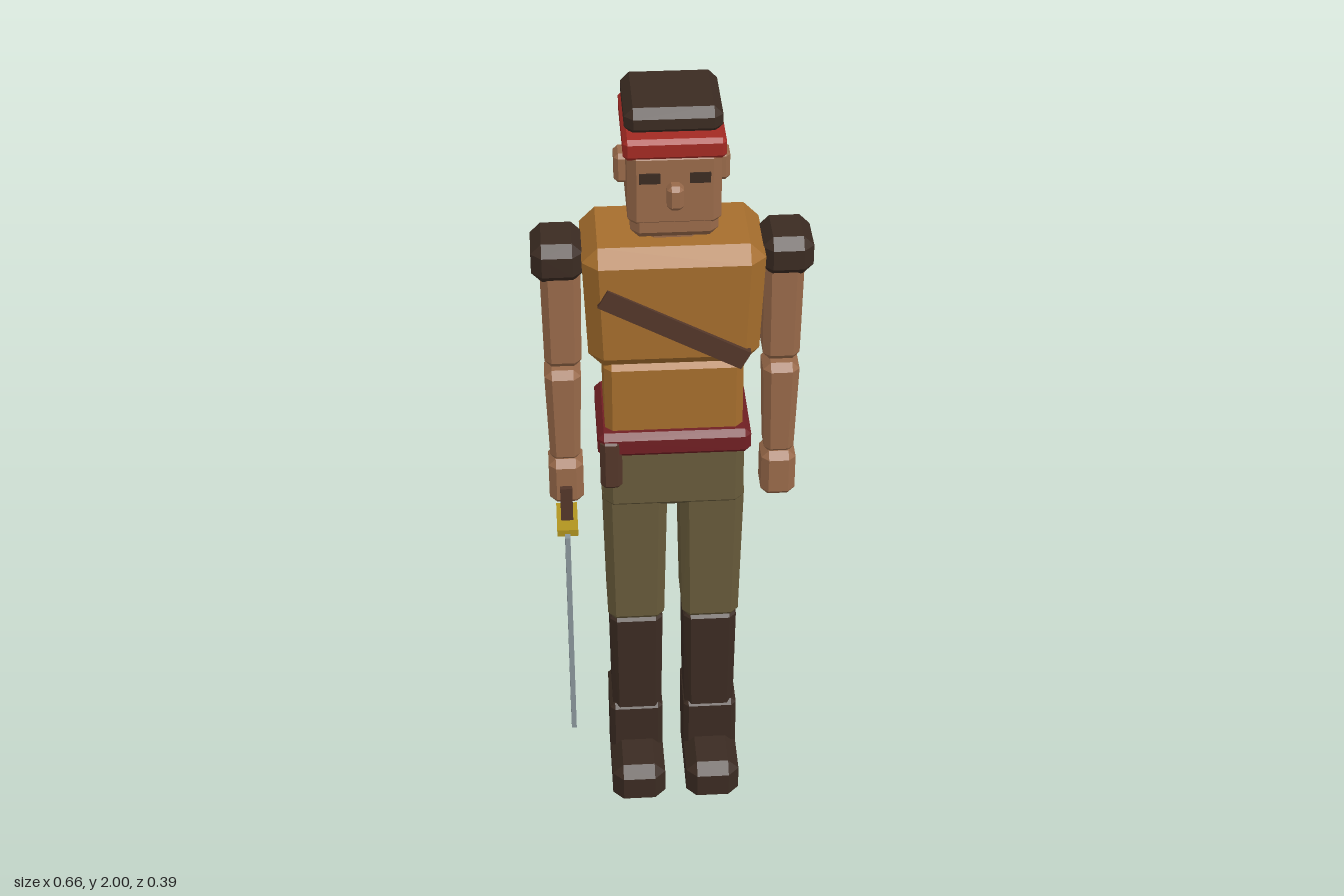
import * as THREE from 'three';
import { ConvexGeometry } from 'three/addons/geometries/ConvexGeometry.js';

const mat = (name, color) => {
  const m = new THREE.MeshStandardMaterial({ color });
  m.name = name;
  return m;
};

// Box with bevelled edges; the foot of the box is scaled by [bx, bz] for a taper
function bevelBox(w, h, d, c, [bx, bz] = [1, 1]) {
  const pts = [];
  for (const sx of [-1, 1]) for (const sy of [-1, 1]) for (const sz of [-1, 1]) {
    for (const [ix, iy, iz] of [[0, c, c], [c, 0, c], [c, c, 0]]) {
      pts.push(new THREE.Vector3(
        sx * (w / 2 - ix) * (sy < 0 ? bx : 1),
        sy * (h / 2 - iy),
        sz * (d / 2 - iz) * (sy < 0 ? bz : 1)));
    }
  }
  return new ConvexGeometry(pts);
}

export function createModel() {
  const skin = mat('skin', 0x996a4a);
  const tunic = mat('mustard tunic', 0xa66e2d);
  const cloth = mat('olive trousers', 0x685b3b);
  const dark = mat('dark leather', 0x3b2b22);
  const strap = mat('brown strap', 0x533629);
  const red = mat('red band', 0xa32a23);
  const crimson = mat('crimson sash', 0x701f23);
  const gold = mat('brass', 0xb0931f);
  const steel = mat('steel', 0x8a969b);

  const model = new THREE.Group();
  model.name = 'swordsman';

  // Adds a part from its extents [x0, x1], [y0, y1], [z0, z1]
  function part(name, material, [x0, x1], [y0, y1], [z0, z1], bevel = 0.015, taper) {
    const geo = bevel
      ? bevelBox(x1 - x0, y1 - y0, z1 - z0, bevel, taper)
      : new THREE.BoxGeometry(x1 - x0, y1 - y0, z1 - z0);
    const mesh = new THREE.Mesh(geo, material);
    mesh.name = name;
    mesh.position.set((x0 + x1) / 2, (y0 + y1) / 2, (z0 + z1) / 2);
    model.add(mesh);
    return mesh;
  }
  // Adds a part on both sides
  function pair(name, material, [a, b], y, z, bevel, taper) {
    part('left' + name, material, [a, b], y, z, bevel, taper);
    part('right' + name, material, [-b, -a], y, z, bevel, taper);
  }

  // Head
  part('cap', dark, [-0.11, 0.11], [1.935, 2.0], [-0.131, 0.086], 0.02);
  part('headband', red, [-0.115, 0.115], [1.895, 1.945], [-0.136, 0.12], 0.01);
  part('head', skin, [-0.106, 0.106], [1.72, 1.915], [-0.125, 0.115], 0.02);
  part('jaw', skin, [-0.1, 0.1], [1.69, 1.77], [-0.09, 0.112], 0.02);
  part('nose', skin, [-0.019, 0.019], [1.78, 1.84], [0.1, 0.146], 0.01);
  pair('Ear', skin, [0.095, 0.132], [1.785, 1.858], [-0.043, 0.019], 0.01);
  pair('Eye', dark, [0.033, 0.08], [1.838, 1.863], [0.112, 0.119], 0);
  part('neck', skin, [-0.055, 0.055], [1.63, 1.72], [-0.065, 0.045], 0.012);

  // Trailing ends of the headband
  for (const [x, lean, material] of [[0.073, 0.1, red], [0.025, -0.09, crimson]]) {
    const tail = part('headbandTail', material, [x - 0.025, x + 0.025],
      [1.777, 1.943], [-0.17, -0.142], 0);
    tail.rotation.set(0.32, lean, lean);
  }

  // Torso
  part('chest', tunic, [-0.212, 0.212], [1.335, 1.658], [-0.143, 0.122], 0.037, [0.95, 0.95]);
  part('belly', tunic, [-0.166, 0.166], [1.12, 1.345], [-0.115, 0.097], 0.018);
  part('sash', crimson, [-0.185, 0.185], [1.09, 1.157], [-0.132, 0.122], 0.015);
  part('hips', cloth, [-0.172, 0.172], [0.915, 1.11], [-0.12, 0.097], 0.022);
  const bandolier = part('chestStrap', strap, [-0.19, 0.19], [1.43, 1.48], [0.105, 0.127], 0);
  bandolier.rotation.z = -0.5;
  part('beltSheath', strap, [-0.18, -0.127], [1.0, 1.145], [0.085, 0.127], 0.012);

  // Arms
  pair('ShoulderPad', dark, [0.207, 0.328], [1.545, 1.645], [-0.088, 0.063], 0.025);
  pair('UpperArm', skin, [0.213, 0.309], [1.3, 1.6], [-0.065, 0.045], 0.018, [0.92, 0.92]);
  pair('Forearm', skin, [0.219, 0.307], [1.02, 1.287], [-0.06, 0.041], 0.018, [0.84, 0.84]);
  pair('Hand', skin, [0.22, 0.305], [0.9, 1.03], [-0.05, 0.047], 0.018);

  // Legs
  pair('Thigh', cloth, [0.015, 0.175], [0.535, 0.97], [-0.103, 0.087], 0.022, [0.9, 0.88]);
  pair('BootShaft', dark, [0.027, 0.163], [0.2, 0.55], [-0.087, 0.068], 0.018, [0.94, 0.98]);
  pair('BootCuff', dark, [0.028, 0.167], [0.075, 0.245], [-0.095, 0.071], 0.013);
  pair('Foot', dark, [0.028, 0.167], [0, 0.123], [-0.095, 0.196], 0.028);

  // Sword held point down in the right hand
  part('swordGrip', strap, [-0.279, -0.249], [0.855, 0.96], [0.0, 0.06], 0);
  const guard = part('swordGuard', gold, [-0.29, -0.238], [0.845, 0.864], [-0.01, 0.098], 0);
  guard.rotation.x = 0.04;
  const blade = part('swordBlade', steel, [-0.271, -0.258], [0.208, 0.85], [0.0, 0.11], 0);
  blade.rotation.x = 0.015;

  return model;
}
